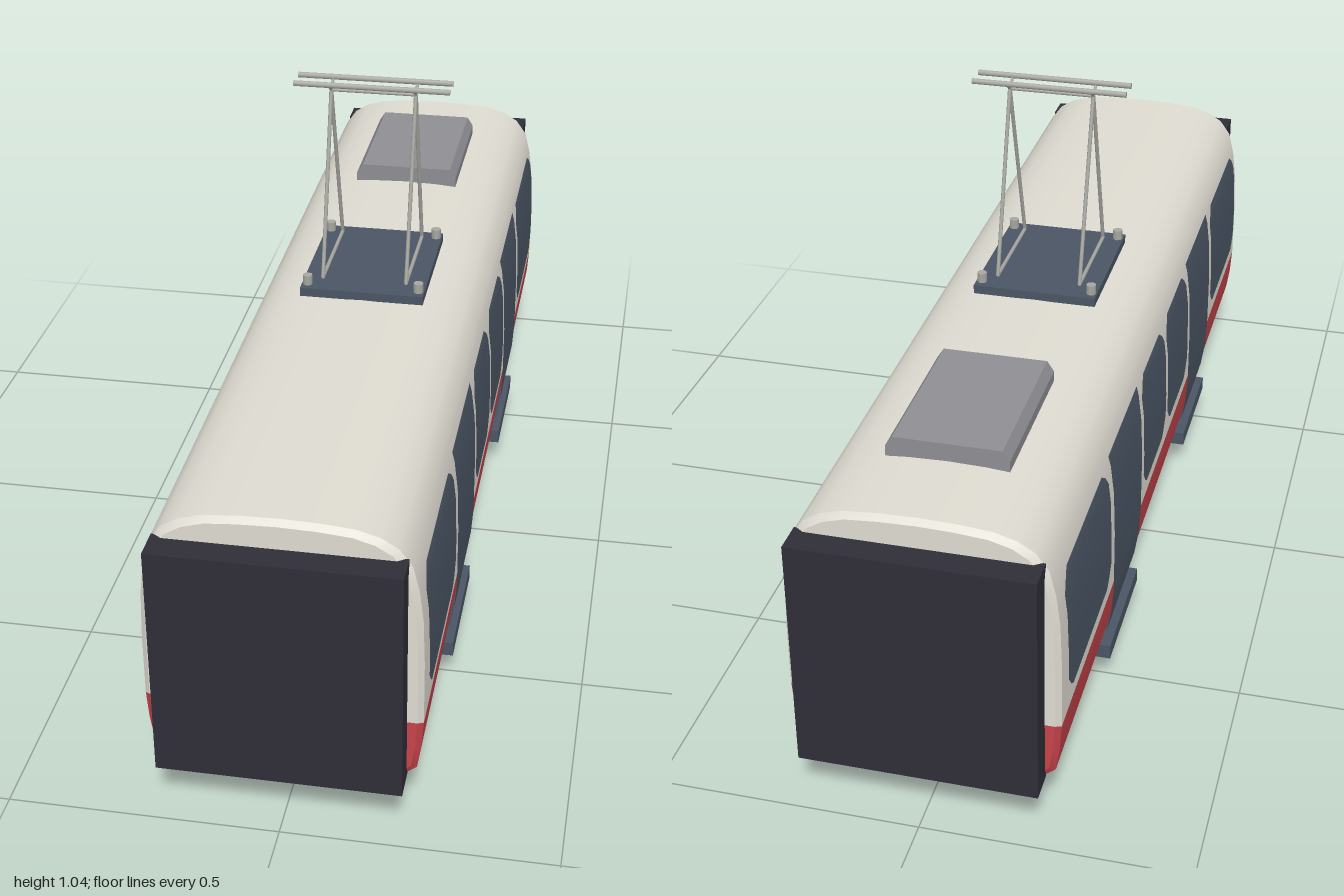
import * as THREE from 'three';
import { toCreasedNormals } from 'three/addons/utils/BufferGeometryUtils.js';

const material = (name, color, side = THREE.FrontSide) => {
  const m = new THREE.MeshStandardMaterial({ color, side });
  m.name = name;
  return m;
};

// Right half of the body section, from the underside up to the roof ridge
const HALF = [
  [0, 0.1], [0.14, 0.101], [0.205, 0.11], [0.237, 0.135], [0.244, 0.18], [0.248, 0.235],
  [0.248, 0.36], [0.245, 0.45], [0.238, 0.51], [0.226, 0.56], [0.203, 0.592],
  [0.172, 0.611], [0.13, 0.623], [0.07, 0.628], [0, 0.63],
];
const BELT = 5; // index where red meets cream
const mirrored = (pts) => pts.map(([x, y]) => [-x, y]).reverse();

// Surface through rows of points, facing outward when rows rise and columns run to +z
function grid(rows) {
  const pos = rows.flat(2), index = [], n = rows[0].length;
  for (let i = 0; i < rows.length - 1; i++)
    for (let j = 0; j < n - 1; j++) {
      const a = i * n + j, b = a + n;
      index.push(a, b, b + 1, a, b + 1, a + 1);
    }
  const g = new THREE.BufferGeometry();
  g.setAttribute('position', new THREE.Float32BufferAttribute(pos, 3));
  g.setIndex(index);
  return toCreasedNormals(g, 0.65);
}

// Half width of the body at a height
function sideX(y) {
  for (let i = 1; i < HALF.length; i++) {
    const [x0, y0] = HALF[i - 1], [x1, y1] = HALF[i];
    if (y <= y1) return x0 + ((x1 - x0) * (y - y0)) / (y1 - y0);
  }
  return 0;
}

// Thin panel that follows the body side, with cut corners of the given size
function sidePanel(z0, z1, y0, y1, corner) {
  const ys = [y0, y0 + 0.3 * corner, y0 + corner, y1 - corner, y1 - 0.3 * corner, y1,
    ...HALF.map((p) => p[1]).filter((y) => y > y0 && y < y1)];
  const rows = [...new Set(ys)].sort((a, b) => a - b).map((y) => {
    const d = Math.min(y - y0, y1 - y);
    const t = corner ? Math.max(0, 1 - d / corner) : 0;
    const inset = corner * Math.pow(t, 1.6);
    const x = sideX(y) + 0.004;
    return [[x, y, z0 + inset], [x, y, z1 - inset]];
  });
  return grid(rows);
}

export function createModel() {
  const cream = material('cream paint', 0xdedbd1);
  const red = material('red paint', 0xc5434a);
  const slate = material('slate', 0x4a5564, THREE.DoubleSide);
  const grey = material('grey metal', 0x8e8e93);
  const black = material('dark gangway', 0x2f2e38);
  const silver = material('silver rod', 0xa8a8a2);

  const model = new THREE.Group();
  model.name = 'tramCar';
  const add = (name, geo, mat, parent = model) => {
    const m = new THREE.Mesh(geo, mat);
    m.name = name;
    parent.add(m);
    return m;
  };
  const box = (name, w, h, d, x, y, z, mat, parent) => {
    const m = add(name, new THREE.BoxGeometry(w, h, d), mat, parent);
    m.position.set(x, y, z);
    return m;
  };
  const rod = (name, a, b, r, parent) => {
    const p = new THREE.Vector3(...a), q = new THREE.Vector3(...b), dir = q.clone().sub(p);
    const m = add(name, new THREE.CylinderGeometry(r, r, dir.length(), 8), silver, parent);
    m.position.copy(p).add(q).multiplyScalar(0.5);
    m.quaternion.setFromUnitVectors(new THREE.Vector3(0, 1, 0), dir.normalize());
    return m;
  };

  // Body shell with bevelled ends, split at the belt line
  const upper = HALF.slice(BELT), lower = HALF.slice(0, BELT + 1);
  const roofPath = [...upper, ...mirrored(upper).slice(1)];
  const skirtPath = [...mirrored(lower), ...lower.slice(1)];
  const stations = [[-0.95, 0.96], [-0.94, 1], [0.94, 1], [0.95, 0.96]];
  const shrink = ([x, y], s) => [x * s, 0.365 + (y - 0.365) * s];
  for (const [name, path, mat] of [['upperBody', roofPath, cream], ['lowerSkirt', skirtPath, red]]) {
    add(name, grid(path.map((p) => stations.map(([z, s]) => [...shrink(p, s), z]))), mat);
    const end = new THREE.Shape(path.map((p) => new THREE.Vector2(...shrink(p, 0.96))));
    for (const turn of [0, Math.PI]) {
      const face = add(name + 'End', new THREE.ShapeGeometry(end), mat);
      face.rotation.y = turn;
      face.position.z = turn ? -0.95 : 0.95;
    }
  }
  box('floorPlate', 0.4, 0.006, 1.88, 0, 0.1, 0, grey);
  box('underfloorCase', 0.29, 0.035, 0.78, 0, 0.0825, 0, grey);

  // Gangway at each end
  for (const s of [-1, 1]) box('gangway', 0.44, 0.457, 0.06, 0, 0.3465, s * 0.97, black);

  // Windows, doors and steps on both sides
  for (const turn of [0, Math.PI]) {
    const side = new THREE.Group();
    side.name = turn ? 'rightSide' : 'leftSide';
    side.rotation.y = turn;
    model.add(side);
    for (const [a, b] of [[0.558, 0.905], [0.01, 0.247], [-0.247, -0.01], [-0.905, -0.558]])
      add('window', sidePanel(a, b, 0.275, 0.525, 0.036), slate, side);
    for (const s of [-1, 1]) {
      add('door', sidePanel(s * 0.4 - 0.13, s * 0.4 + 0.13, 0.104, 0.53, 0), slate, side);
      box('step', 0.035, 0.03, 0.262, 0.23, 0.079, s * 0.4, slate, side);
      box('stepBracket', 0.05, 0.012, 0.2, 0.195, 0.094, s * 0.4, slate, side);
    }
  }

  // Bogies
  for (const s of [-1, 1]) {
    const bogie = new THREE.Group();
    bogie.name = 'bogie';
    bogie.position.z = s * 0.563;
    model.add(bogie);
    box('bolster', 0.37, 0.026, 0.11, 0, 0.087, 0, slate, bogie);
    for (const x of [-1, 1]) {
      box('sideFrame', 0.016, 0.042, 0.325, x * 0.19, 0.068, 0, slate, bogie);
      for (const z of [-0.103, 0.103]) {
        const wheel = add('wheel', new THREE.CylinderGeometry(0.05, 0.05, 0.029, 10), grey, bogie);
        wheel.rotation.set(0, 0, Math.PI / 2);
        wheel.position.set(x * 0.158, 0.05, z);
        box('axleBox', 0.012, 0.03, 0.03, x * 0.203, 0.056, z, grey, bogie);
      }
    }
    for (const z of [-0.103, 0.103]) rod('axle', [-0.19, 0.05, z], [0.19, 0.05, z], 0.009, bogie).material = grey;
  }

  // Roof unit with sloping sides
  const unit = new THREE.Shape([[-0.113, 0.615], [0.113, 0.615], [0.113, 0.645], [0.1, 0.665], [-0.1, 0.665], [-0.113, 0.645]]
    .map((p) => new THREE.Vector2(...p)));
  add('roofUnit', new THREE.ExtrudeGeometry(unit, { depth: 0.32, bevelEnabled: false }), grey).position.z = -0.763;

  // Pantograph
  const panto = new THREE.Group();
  panto.name = 'pantograph';
  model.add(panto);
  box('pantographBase', 0.25, 0.018, 0.3, 0, 0.638, 0, slate, panto);
  for (const x of [-1, 1]) {
    rod('baseRail', [x * 0.085, 0.655, -0.11], [x * 0.085, 0.655, 0.11], 0.004, panto);
    for (const z of [-1, 1]) {
      rod('insulator', [x * 0.113, 0.64, z * 0.128], [x * 0.113, 0.667, z * 0.128], 0.01, panto);
      rod('arm', [x * 0.085, 0.655, z * 0.11], [x * 0.085, 1.018, 0], 0.004, panto);
    }
  }
  rod('topBar', [-0.087, 1.018, 0], [0.087, 1.018, 0], 0.004, panto);
  for (const z of [-0.024, 0.024]) {
    rod('contactBar', [-0.156, 1.036, z], [0.156, 1.036, z], 0.006, panto);
    for (const x of [-0.085, 0.085]) rod('headLink', [x, 1.018, 0], [x, 1.034, z], 0.003, panto);
  }
  return model;
}
